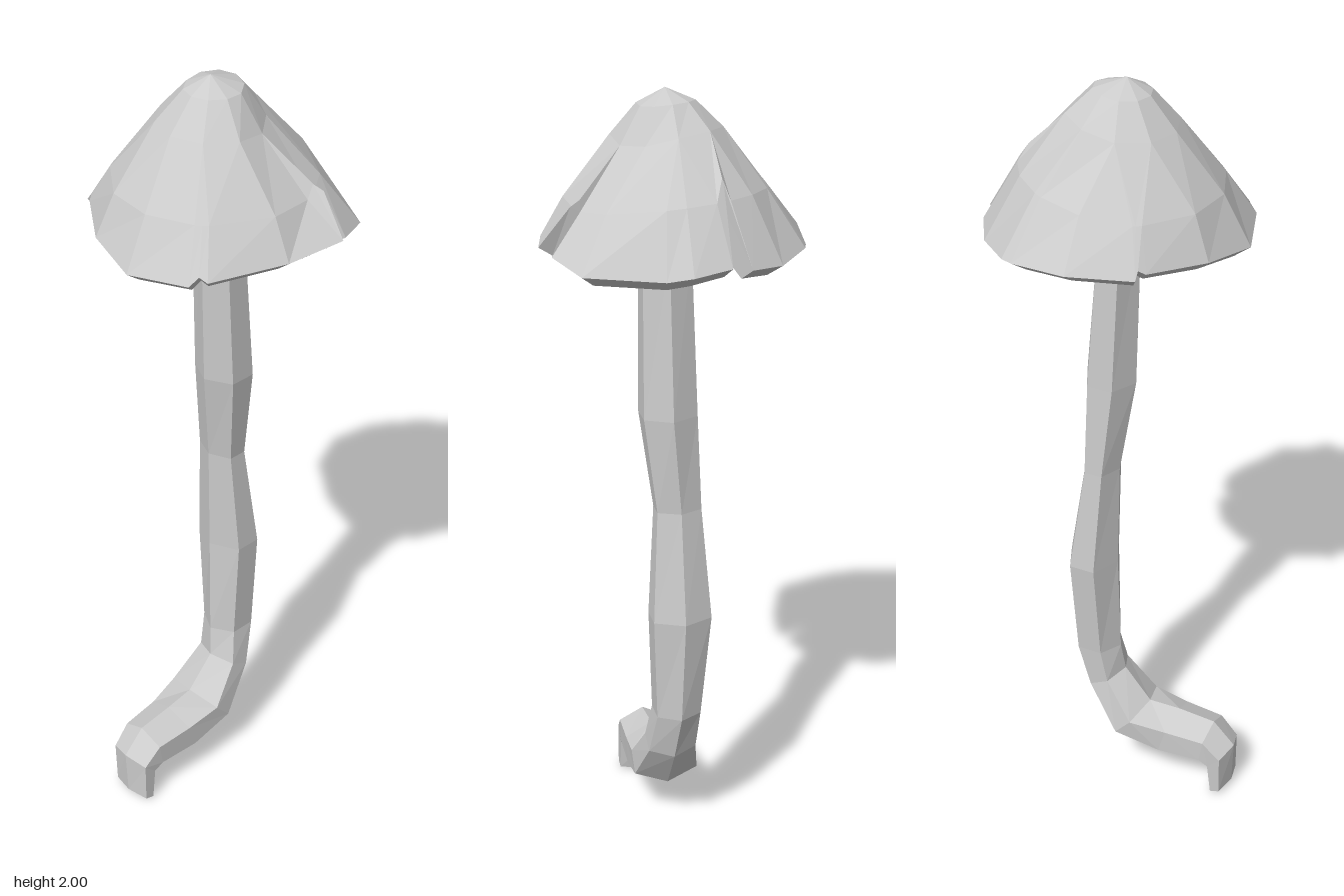
import * as THREE from 'three';

const material = new THREE.MeshStandardMaterial({ color: 0xcccccc, flatShading: true, side: THREE.DoubleSide });

// Joins closed rings of points (ordered +x towards +z, top to bottom) into a faceted skin.
function skin(name, rings) {
  const pos = [];
  const tri = (a, b, c) => {
    const area = b.clone().sub(a).cross(c.clone().sub(a)).length();
    if (area > 1e-7) for (const p of [a, b, c]) pos.push(p.x, p.y, p.z);
  };
  for (let i = 0; i < rings.length - 1; i++) {
    const n = rings[i].length;
    for (let j = 0; j < n; j++) {
      const k = (j + 1) % n;
      tri(rings[i][j], rings[i][k], rings[i + 1][k]);
      tri(rings[i][j], rings[i + 1][k], rings[i + 1][j]);
    }
  }
  const geometry = new THREE.BufferGeometry();
  geometry.setAttribute('position', new THREE.Float32BufferAttribute(pos, 3));
  geometry.computeVertexNormals();
  const mesh = new THREE.Mesh(geometry, material);
  mesh.name = name;
  return mesh;
}

// Ragged rim of the cap: x, z, y. The two high points are the tips of the splits.
const RIM = [
  [0.33, 0.01, 1.64], [0.315, 0.07, 1.63], [0.235, 0.25, 1.63], [0.13, 0.30, 1.65],
  [0.105, 0.25, 1.76], [0.095, 0.325, 1.665], [-0.05, 0.295, 1.65], [-0.23, 0.22, 1.64],
  [-0.237, 0.20, 1.65], [-0.26, 0.19, 1.63], [-0.31, 0.04, 1.62], [-0.27, -0.11, 1.64],
  [-0.175, -0.24, 1.65], [-0.16, -0.25, 1.66], [-0.16, -0.265, 1.64], [-0.015, -0.33, 1.65],
  [0.13, -0.31, 1.64], [0.16, -0.30, 1.64], [0.25, -0.22, 1.63], [0.30, -0.135, 1.64],
  [0.205, -0.088, 1.82], [0.31, -0.085, 1.65],
];

function makeCap() {
  const columns = RIM.map(([x, z, y], i) => {
    const r = Math.hypot(x, z), a = Math.atan2(z, x);
    const snapped = Math.round(a / (Math.PI / 5)) * Math.PI / 5;
    const at = (radius, height, angle = a) =>
      new THREE.Vector3(radius * Math.cos(angle), height, radius * Math.sin(angle));
    // The shoulder is fuller towards +x and -z
    const full = (angle) => Math.max(0, Math.cos(angle + 0.5));
    const dent = Math.max(0, Math.cos(snapped - 0.8)) ** 3;
    const mid = Math.min(0.245, r * 0.97);
    const split = y > 1.7;
    return [
      new THREE.Vector3(-0.01, 2.0, 0),
      at(0.07, 1.965 + 0.012 * full(snapped), snapped),
      at(0.135 - 0.015 * dent, 1.89 + 0.03 * full(snapped) - 0.015 * dent, snapped),
      split ? at(mid, y + 0.012) : at(mid, 1.745 + 0.04 * full(a)),
      new THREE.Vector3(x, y, z),
      at(r * 0.87, y - 0.03),
      at(Math.min(r * 0.62, 0.19), 1.72 + (i % 2 ? 0.015 : -0.015)),
      at(0.03, 1.8),
    ];
  });
  return skin('cap', columns[0].map((_, level) => columns.map((c) => c[level])));
}

// Stem sections: outer x, y; inner x, y; front z; back z.
const STEM = [
  [0.055, 1.80, -0.045, 1.80, 0.06, -0.05],
  [0.065, 1.62, -0.045, 1.62, 0.065, -0.055],
  [0.10, 1.20, -0.035, 1.20, 0.07, -0.065],
  [0.095, 0.95, 0.0, 0.95, 0.038, -0.075],
  [0.14, 0.66, 0.005, 0.66, 0.055, -0.095],
  [0.13, 0.38, 0.0, 0.38, 0.045, -0.07],
  [0.09, 0.25, -0.01, 0.30, 0.06, -0.065],
  [0.0, 0.12, -0.085, 0.215, 0.08, -0.09],
  [-0.13, 0.075, -0.17, 0.21, 0.075, -0.07],
  [-0.25, 0.08, -0.27, 0.20, 0.07, -0.06],
  [-0.262, 0.075, -0.33, 0.14, 0.065, -0.055],
  [-0.275, 0.0, -0.325, 0.015, 0.065, -0.05],
];

function makeStem() {
  const sides = 6;
  const rings = STEM.map(([ox, oy, ix, iy, front, back]) => {
    const outer = new THREE.Vector3(ox, oy, 0), inner = new THREE.Vector3(ix, iy, 0);
    return Array.from({ length: sides }, (_, j) => {
      const t = (j / sides) * Math.PI * 2;
      const p = inner.clone().lerp(outer, 0.5 + 0.5 * Math.cos(t));
      p.z = (front + back) / 2 + ((front - back) / 2) * Math.sin(t) / Math.sin(Math.PI / 3);
      return p;
    });
  });
  // Close both ends
  const closed = (ring) => {
    const c = ring.reduce((s, p) => s.add(p), new THREE.Vector3()).divideScalar(sides);
    return ring.map(() => c);
  };
  return skin('stem', [closed(rings[0]), ...rings, closed(rings[rings.length - 1])]);
}

export function createModel() {
  const group = new THREE.Group();
  group.name = 'mushroom';
  group.add(makeCap(), makeStem());
  return group;
}
